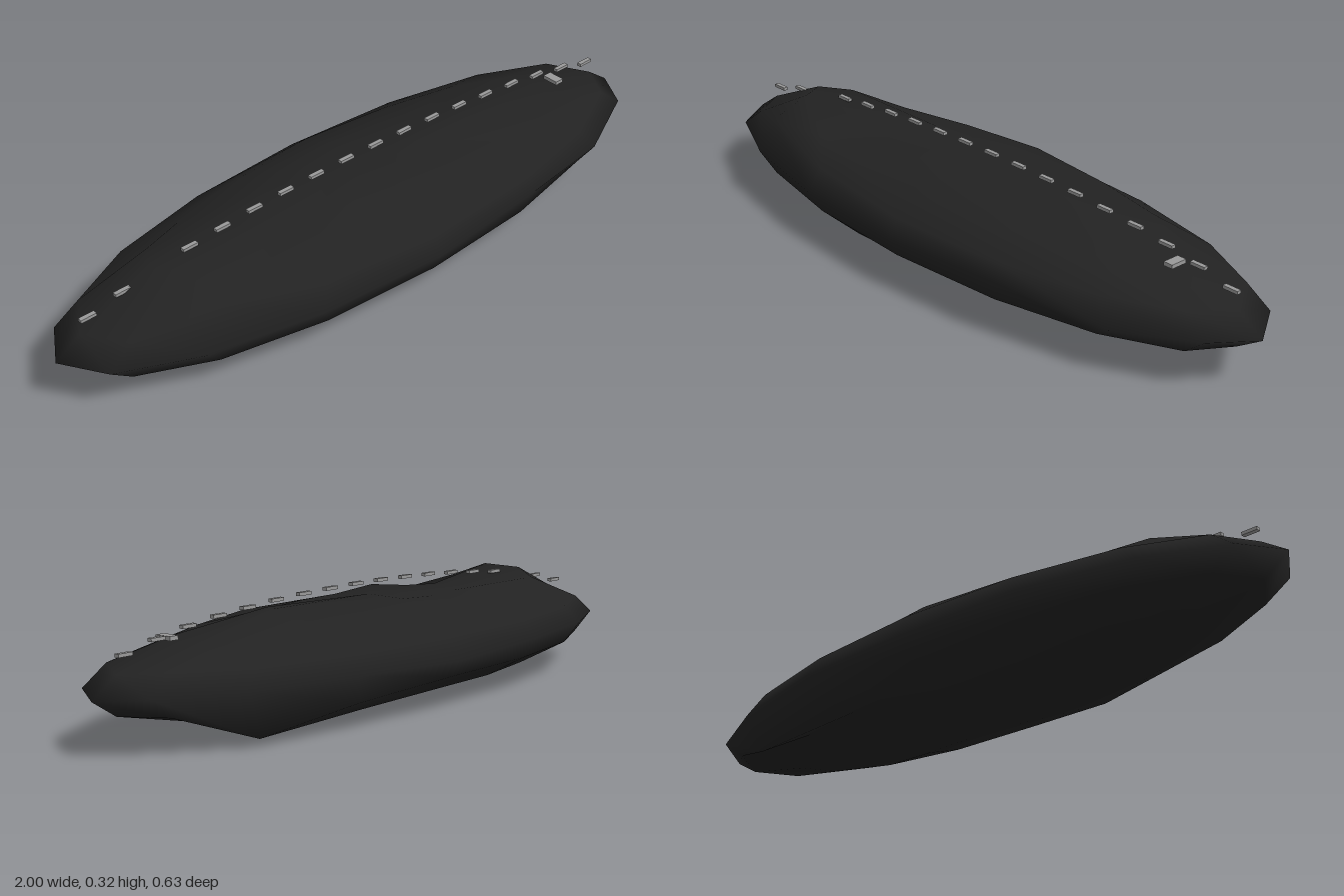
import * as THREE from 'three';
import { mergeVertices } from 'three/addons/utils/BufferGeometryUtils.js';

const SEGMENTS = 16, RINGS = 8;
const HALF_HEIGHT = 0.14, HALF_DEPTH = 0.314, CENTRE_Y = 0.147;

// Vertical bumps and dents: [ring from the top, segment from -x towards +z, offset]
const bumps = [
  [1, 3, 0.013], [1, 8, 0.012], [1, 12, 0.008], [1, 7, 0.01],
  [2, 0, 0.048], [2, 1, 0.058], [2, 15, 0.03], [2, 5, 0.01], [2, 8, -0.006], [2, 12, 0.009],
  [3, 2, 0.06], [3, 3, 0.02], [3, 8, -0.007],
  [4, 0, 0.003], [4, 4, -0.002], [4, 5, 0.013], [4, 6, -0.017], [4, 8, -0.007], [4, 12, -0.01],
  [5, 10, -0.07], [5, 11, -0.02],
  [6, 0, -0.007], [6, 3, -0.016], [6, 11, -0.012],
  [7, 1, -0.005], [7, 6, -0.016], [7, 10, -0.012],
];

function moundGeometry() {
  const sphere = new THREE.SphereGeometry(1, SEGMENTS, RINGS);
  const pos = sphere.attributes.position;
  const offsets = new Map(bumps.map(([ring, seg, dy]) => [ring * SEGMENTS + seg, dy]));
  for (let i = 0; i < pos.count; i++) {
    const ring = Math.floor(i / (SEGMENTS + 1));
    const seg = (i % (SEGMENTS + 1)) % SEGMENTS;
    const dy = offsets.get(ring * SEGMENTS + seg) ?? 0;
    pos.setXYZ(i, pos.getX(i), CENTRE_Y + pos.getY(i) * HALF_HEIGHT + dy, pos.getZ(i) * HALF_DEPTH);
  }
  // Join the seam so the shading is smooth all round
  sphere.deleteAttribute('uv');
  sphere.deleteAttribute('normal');
  const geometry = mergeVertices(sphere, 1e-5);
  geometry.computeVertexNormals();
  return geometry;
}

export function createModel() {
  const group = new THREE.Group();
  const charcoal = new THREE.MeshStandardMaterial({ color: 0x222222 });
  charcoal.name = 'charcoal';
  const grey = new THREE.MeshStandardMaterial({ color: 0x999999 });
  grey.name = 'grey';

  // Flattened, uneven body
  const body = new THREE.Mesh(moundGeometry(), charcoal);
  body.name = 'body';
  group.add(body);

  // Arched row of dashes along the middle
  const dashes = new THREE.Group();
  dashes.name = 'dashes';
  const dashGeometry = new THREE.BoxGeometry(0.046, 0.009, 0.013);
  const count = 18;
  // Half of the arch's heights, from the centre outwards
  const heights = [0.321, 0.319, 0.316, 0.311, 0.303, 0.294, 0.281, 0.262, 0.238];
  for (let i = 0; i < count; i++) {
    const dash = new THREE.Mesh(dashGeometry, grey);
    dash.name = 'dash';
    const step = i - (count - 1) / 2;
    dash.position.set(step * 0.1055, heights[Math.abs(step) - 0.5], 0);
    dashes.add(dash);
  }
  group.add(dashes);

  // Small crosswise plate near the left end
  const plate = new THREE.Mesh(new THREE.BoxGeometry(0.028, 0.011, 0.05), grey);
  plate.name = 'crossPlate';
  plate.position.set(0.735, 0.257, 0.023);
  group.add(plate);

  return group;
}
